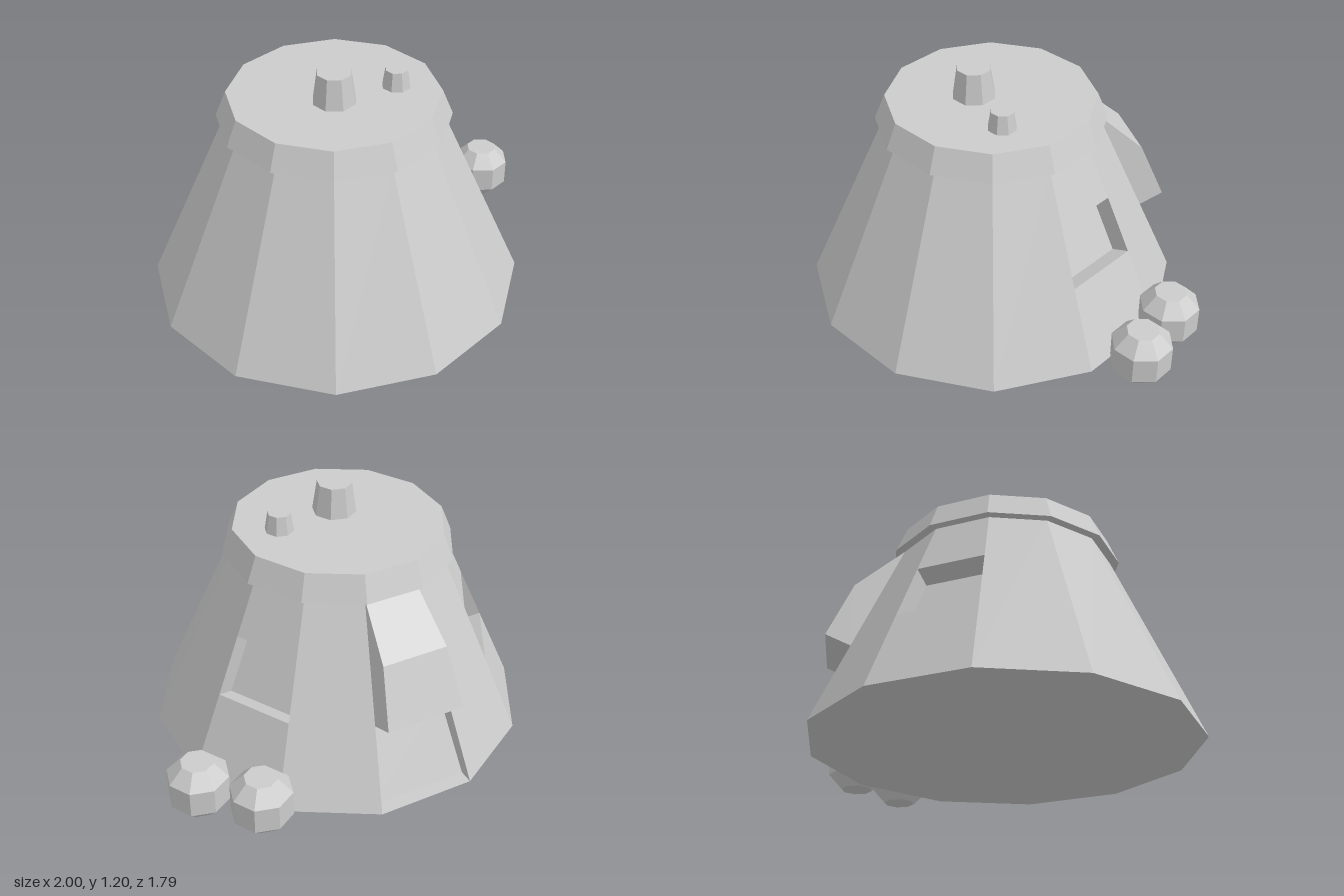
import * as THREE from 'three';

const SIDES = 12, STEP = Math.PI * 2 / SIDES, HALF = Math.tan(STEP / 2);
const HEIGHT = 0.92, BASE = 0.895, NECK = 0.5; // apothems of the tapered wall
const SLOPE = (BASE - NECK) / HEIGHT, TILT = Math.atan(SLOPE);
const BACK = 9, WINDOWS = [7, 11]; // wall faces counted from +x towards +z
const SILL = 0.385, LINTEL = 0.66;

const material = new THREE.MeshStandardMaterial({ color: 0xcccccc, flatShading: true });

// Point on wall face k: s runs -1..1 across, d is the offset along the face normal
function wallPoint(k, s, y, d = 0) {
  const phi = k * STEP, c = Math.cos(phi), n = Math.sin(phi);
  const a = BASE - SLOPE * y, out = a + d * Math.cos(TILT), w = s * a * HALF;
  return [c * out + n * w, Math.max(0, y + d * Math.sin(TILT)), n * out - c * w];
}

// Four corners of a full-width wall band, counter-clockwise from outside
const band = (k, y0, y1, d = 0) => [
  wallPoint(k, -1, y0, d), wallPoint(k, 1, y0, d), wallPoint(k, 1, y1, d), wallPoint(k, -1, y1, d)];

// Band moved in or out by d, with its connecting sides
function pocket(k, y0, y1, d) {
  const o = band(k, y0, y1), i = band(k, y0, y1, d), polys = [i];
  for (let j = 0; j < 4; j++) {
    const m = (j + 1) % 4;
    polys.push([o[j], o[m], i[m], i[j]]);
  }
  return polys;
}

function polyMesh(name, polys) {
  const pos = [];
  for (const p of polys)
    for (let j = 1; j < p.length - 1; j++) pos.push(...p[0], ...p[j], ...p[j + 1]);
  const geo = new THREE.BufferGeometry();
  geo.setAttribute('position', new THREE.Float32BufferAttribute(pos, 3));
  geo.computeVertexNormals();
  return named(name, geo);
}

function named(name, geo, x = 0, y = 0, z = 0) {
  const mesh = new THREE.Mesh(geo, material);
  mesh.name = name;
  mesh.position.set(x, y, z);
  return mesh;
}

export function createModel() {
  const model = new THREE.Group();
  model.name = 'hut';
  const tower = new THREE.Group();
  tower.name = 'tower';
  tower.position.x = -0.105;
  model.add(tower);

  // Tapered wall, leaving openings for the door and windows
  const wall = [], floor = [];
  for (let k = 0; k < SIDES; k++) {
    if (k === BACK) {
      wall.push(band(k, LINTEL, HEIGHT));
    } else if (WINDOWS.includes(k)) {
      wall.push(band(k, 0, SILL), band(k, LINTEL, HEIGHT));
    } else {
      wall.push(band(k, 0, HEIGHT));
    }
    floor.push(wallPoint(k, 1, 0));
  }
  tower.add(polyMesh('wall', wall), polyMesh('floor', [floor]));

  // Recessed windows and door
  WINDOWS.forEach((k, i) =>
    tower.add(polyMesh(i ? 'leftWindow' : 'rightWindow', pocket(k, SILL, LINTEL, -0.1))));
  tower.add(polyMesh('door', pocket(BACK, 0, SILL, -0.075)));

  // Hood over the door: a raised block with a sloping roof up to the lid
  const o = band(BACK, SILL, LINTEL), i = band(BACK, SILL, LINTEL, 0.127);
  const topL = wallPoint(BACK, -1, HEIGHT), topR = wallPoint(BACK, 1, HEIGHT);
  tower.add(polyMesh('doorHood', [
    i,
    [o[0], o[1], i[1], i[0]],
    [o[1], o[2], i[2], i[1]],
    [o[3], o[0], i[0], i[3]],
    [i[3], i[2], topR, topL],
    [i[2], o[2], topR],
    [i[3], topL, o[3]],
  ]));

  // Overhanging lid
  const k = Math.cos(STEP / 2);
  tower.add(named('lid', new THREE.CylinderGeometry(
    0.492 / k, 0.542 / k, 0.125, SIDES, 1, false, STEP / 2), 0, 0.9825, 0));

  // Chimneys
  for (const [name, x, z, r, h] of [
    ['largeChimney', -0.125, 0.08, 0.107, 0.15], ['smallChimney', 0.19, 0.03, 0.07, 0.092]]) {
    const chimney = named(name, new THREE.CylinderGeometry(r * 0.79, r, h, 8), x, 1.045 + h / 2, z);
    chimney.rotation.y = 0.14;
    model.add(chimney);
  }

  // Barrels
  const profile = [[0, 0], [0.078, 0], [0.146, 0.07], [0.146, 0.2], [0.078, 0.27], [0, 0.27]]
    .map(p => new THREE.Vector2(...p));
  [[0.64, -0.68], [0.852, -0.455]].forEach(([x, z], n) => {
    const barrel = named('barrel' + (n + 1), new THREE.LatheGeometry(profile, 8), x, 0, z);
    barrel.rotation.y = 0.14;
    model.add(barrel);
  });
  return model;
}
